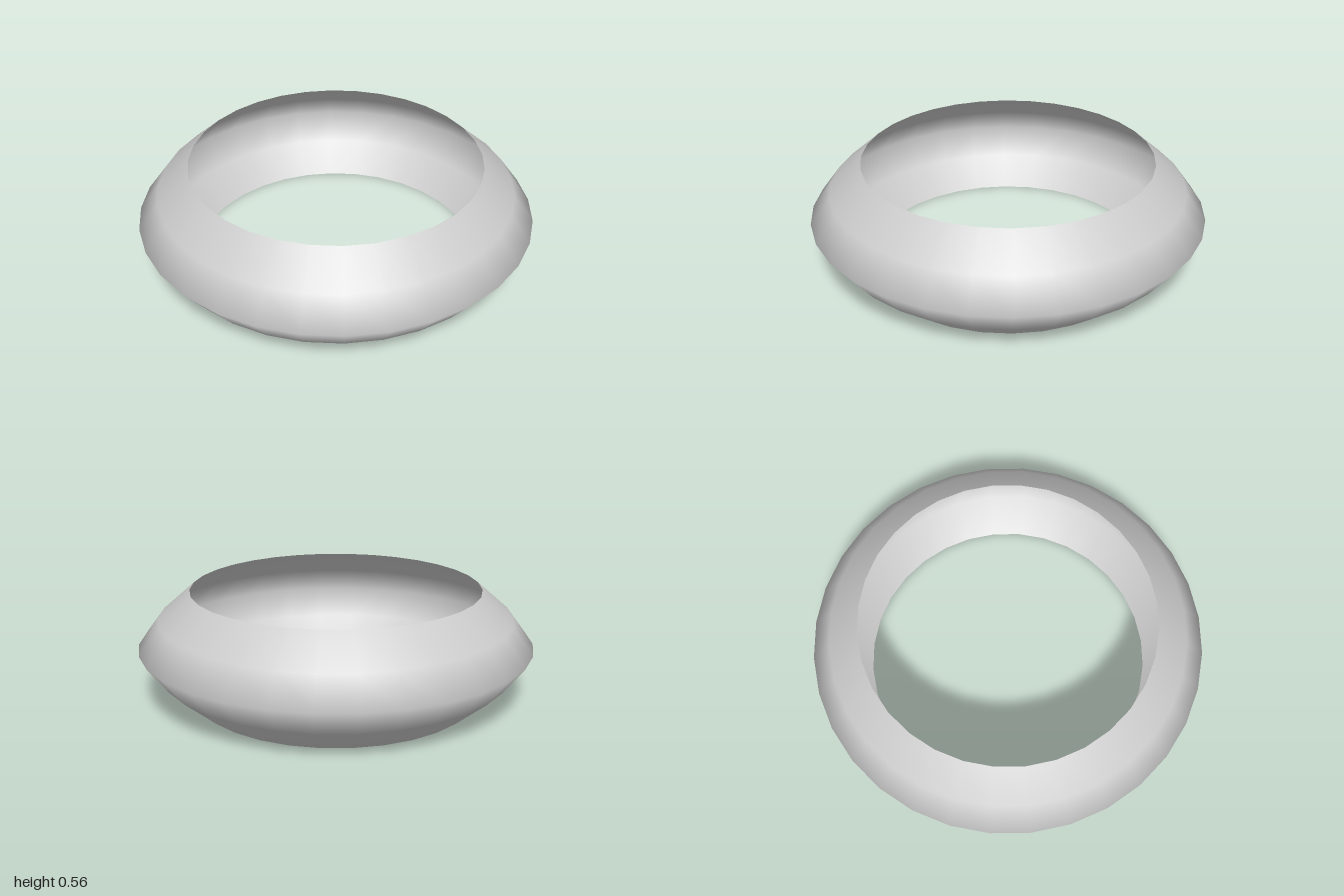
import * as THREE from 'three';

export function createModel() {
  const group = new THREE.Group();
  group.name = 'ring';

  // Open band: the profile bulges outward, with open rims at top and bottom
  const profile = [
    [0.735, 0],
    [0.896, 0.139],
    [1, 0.278],
    [0.896, 0.417],
    [0.735, 0.556],
  ].map(([r, y]) => new THREE.Vector2(r, y));

  const band = new THREE.Mesh(
    new THREE.LatheGeometry(profile, 32),
    new THREE.MeshStandardMaterial({ color: 0xcccccc, side: THREE.DoubleSide })
  );
  band.name = 'band';
  group.add(band);

  return group;
}
